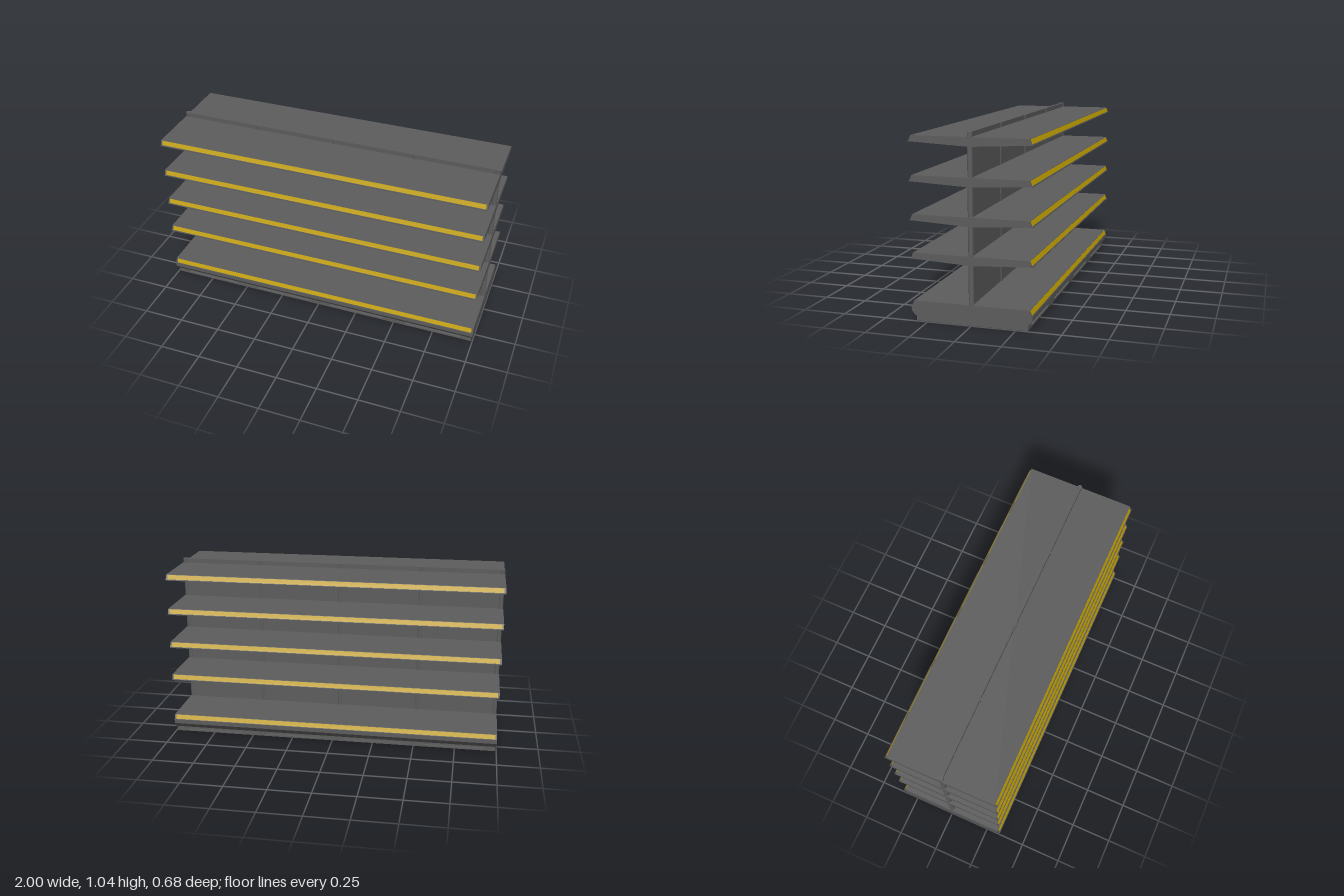
import * as THREE from 'three';

const charcoal = new THREE.MeshStandardMaterial({ color: 0x5c5c5c });
const yellow = new THREE.MeshStandardMaterial({ color: 0xc2a000 });

function part(name, geometry, material = charcoal) {
  const mesh = new THREE.Mesh(geometry, material);
  mesh.name = name;
  return mesh;
}

function box(name, size, position, material) {
  const mesh = part(name, new THREE.BoxGeometry(...size), material);
  mesh.position.set(...position);
  return mesh;
}

// Extrudes a half profile of [z, y] points, mirrored in z, along the x axis
function mirroredBar(name, half, length) {
  const points = [...half, ...half.slice().reverse().map(([z, y]) => [-z, y])];
  const shape = new THREE.Shape(points.map(([z, y]) => new THREE.Vector2(-z, y)));
  const geometry = new THREE.ExtrudeGeometry(shape, { depth: length, bevelEnabled: false });
  geometry.translate(0, 0, -length / 2).rotateY(Math.PI / 2);
  return part(name, geometry);
}

// Sloping price strips on both long edges, below a deck with its top at y
function priceStrips(y) {
  const group = new THREE.Group();
  group.name = 'priceStrips';
  for (const side of [1, -1]) {
    const strip = box('priceStrip', [1.98, 0.027, 0.002], [0, y - 0.0148, side * 0.3325], yellow);
    strip.rotation.x = -side * Math.atan2(0.011, 0.03);
    group.add(strip);
  }
  return group;
}

function rectangle(PathType, x, y, width, height) {
  return new PathType([[0, 0], [width, 0], [width, height], [0, height]]
    .map(([dx, dy]) => new THREE.Vector2(x + dx, y + dy)));
}

// Kick board with four long slots
function kickBoard() {
  const shape = rectangle(THREE.Shape, -0.992, 0, 1.984, 0.03);
  for (const x of [-0.75, -0.25, 0.25, 0.75]) {
    shape.holes.push(rectangle(THREE.Path, x - 0.177, 0.01, 0.354, 0.013));
  }
  return part('kickBoard', new THREE.ExtrudeGeometry(shape, { depth: 0.015, bevelEnabled: false }));
}

export function createModel() {
  const model = new THREE.Group();
  model.name = 'doubleSidedShelvingUnit';

  // Plinth with a slotted kick board on both long sides
  model.add(box('plinth', [1.984, 0.03, 0.6], [0, 0.015, 0]));
  for (const side of [1, -1]) {
    const board = kickBoard();
    board.position.z = side * 0.3;
    board.rotation.y = side > 0 ? 0 : Math.PI;
    model.add(board);
  }

  // Base deck
  model.add(mirroredBar('baseDeck', [
    [0.327, 0.115], [0.338, 0.085], [0.342, 0.085], [0.342, 0.06], [0.318, 0.03],
  ], 2));
  model.add(priceStrips(0.115));

  // Central back panel and round uprights, flush at the top
  model.add(box('backPanel', [1.97, 0.945, 0.02], [0, 0.5725, 0]));
  for (const x of [-0.984, -0.5, 0, 0.5, 0.984]) {
    const upright = part('upright', new THREE.CylinderGeometry(0.0155, 0.0155, 0.945, 32));
    upright.position.set(x, 0.5725, 0);
    model.add(upright);
  }

  // Four tapered shelves with a thin lip under each price strip
  for (const y of [0.383, 0.594, 0.805, 1.018]) {
    const shelf = new THREE.Group();
    shelf.name = 'shelf';
    shelf.add(mirroredBar('shelfDeck', [
      [0.327, y], [0.338, y - 0.03], [0.342, y - 0.03], [0.342, y - 0.034],
      [0.327, y - 0.034], [0.0155, y - 0.05],
    ], 2));
    shelf.add(priceStrips(y));
    model.add(shelf);
  }
  return model;
}
